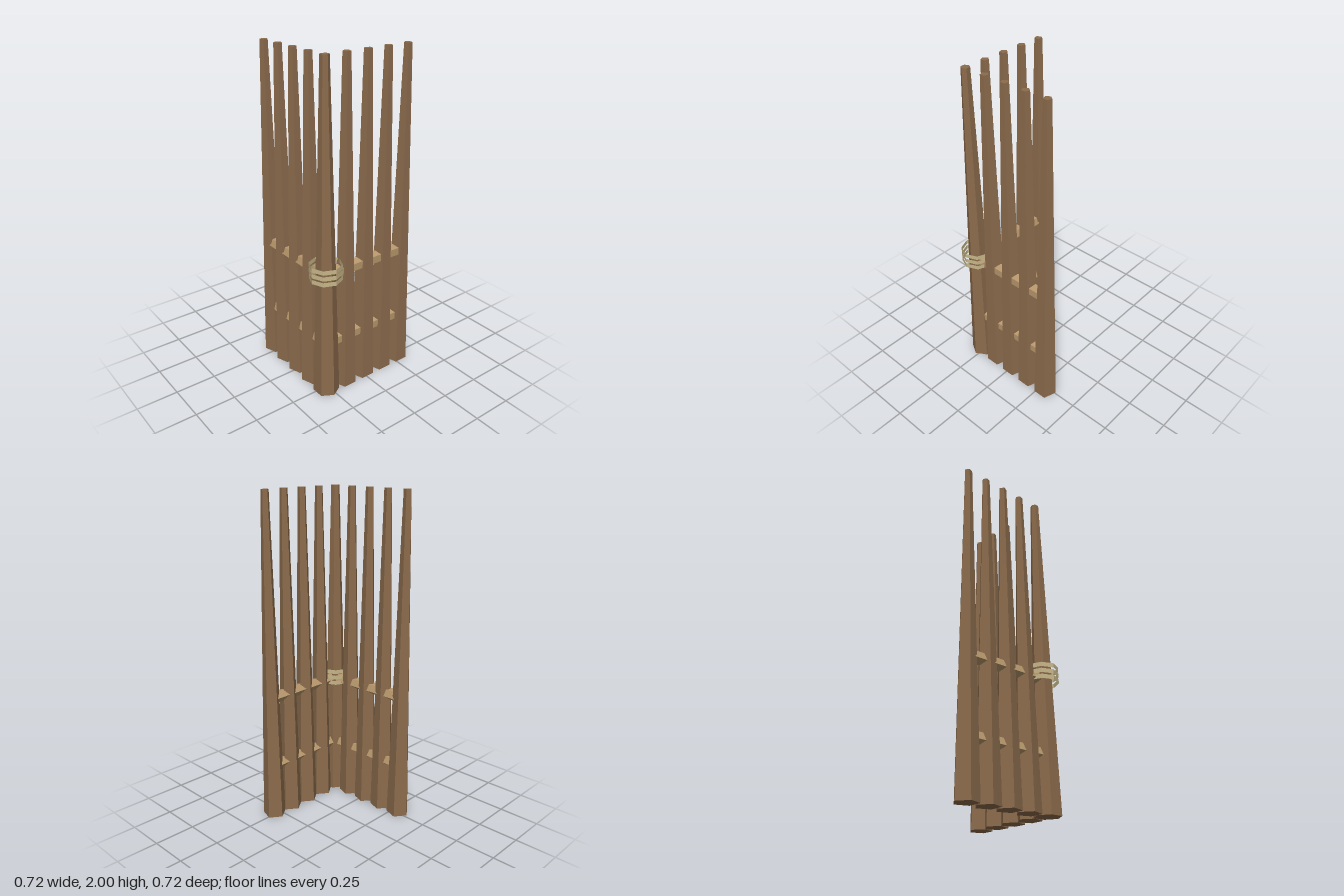
import * as THREE from 'three';

export function createModel() {
  const model = new THREE.Group();
  model.name = 'cornerPalisade';

  const mat = (name, color, extra = {}) => {
    const m = new THREE.MeshStandardMaterial({ color, flatShading: true, ...extra });
    m.name = name;
    return m;
  };
  const wood = mat('darkWood', 0x8b6b4c);
  const railWood = mat('lightWood', 0xb8986c);
  const rope = mat('rope', 0xc8b88a, { side: THREE.DoubleSide });

  const add = (name, geometry, material, x, y, z) => {
    const mesh = new THREE.Mesh(geometry, material);
    mesh.name = name;
    mesh.position.set(x, y, z);
    model.add(mesh);
  };

  const cx = -0.268, cz = 0.265, gap = 0.1385, count = 4;

  // Six-sided corner post
  add('cornerPost', new THREE.CylinderGeometry(0.026, 0.078, 2, 6), wood, cx, 1, cz);

  // Five-sided tapered stakes along both arms, one edge towards the back
  const stake = new THREE.CylinderGeometry(0.0237, 0.0712, 2, 5).rotateY(Math.PI);
  for (let i = 1; i <= count; i++) {
    add('frontStake' + i, stake, wood, cx + i * gap, 1, cz);
    add('sideStake' + i, stake, wood, cx, 1, cz - i * gap);
  }

  // Two five-sided rails per arm, running through the stakes
  const length = count * gap;
  const pole = () => new THREE.CylinderGeometry(0.038, 0.038, length, 5);
  const frontRail = pole().rotateY(Math.PI).rotateZ(Math.PI / 2);
  const sideRail = pole().rotateX(Math.PI / 2);
  ['lower', 'upper'].forEach((level, i) => {
    const y = [0.334, 0.779][i];
    add(level + 'FrontRail', frontRail, railWood, cx + length / 2, y, cz);
    add(level + 'SideRail', sideRail, railWood, cx, y, cz - length / 2);
  });

  // Three open rope bands around the corner post
  const band = new THREE.CylinderGeometry(0.096, 0.096, 0.026, 8, 1, true);
  [0.767, 0.803, 0.84].forEach((y, i) => add('ropeBand' + (i + 1), band, rope, cx, y, cz));

  return model;
}
